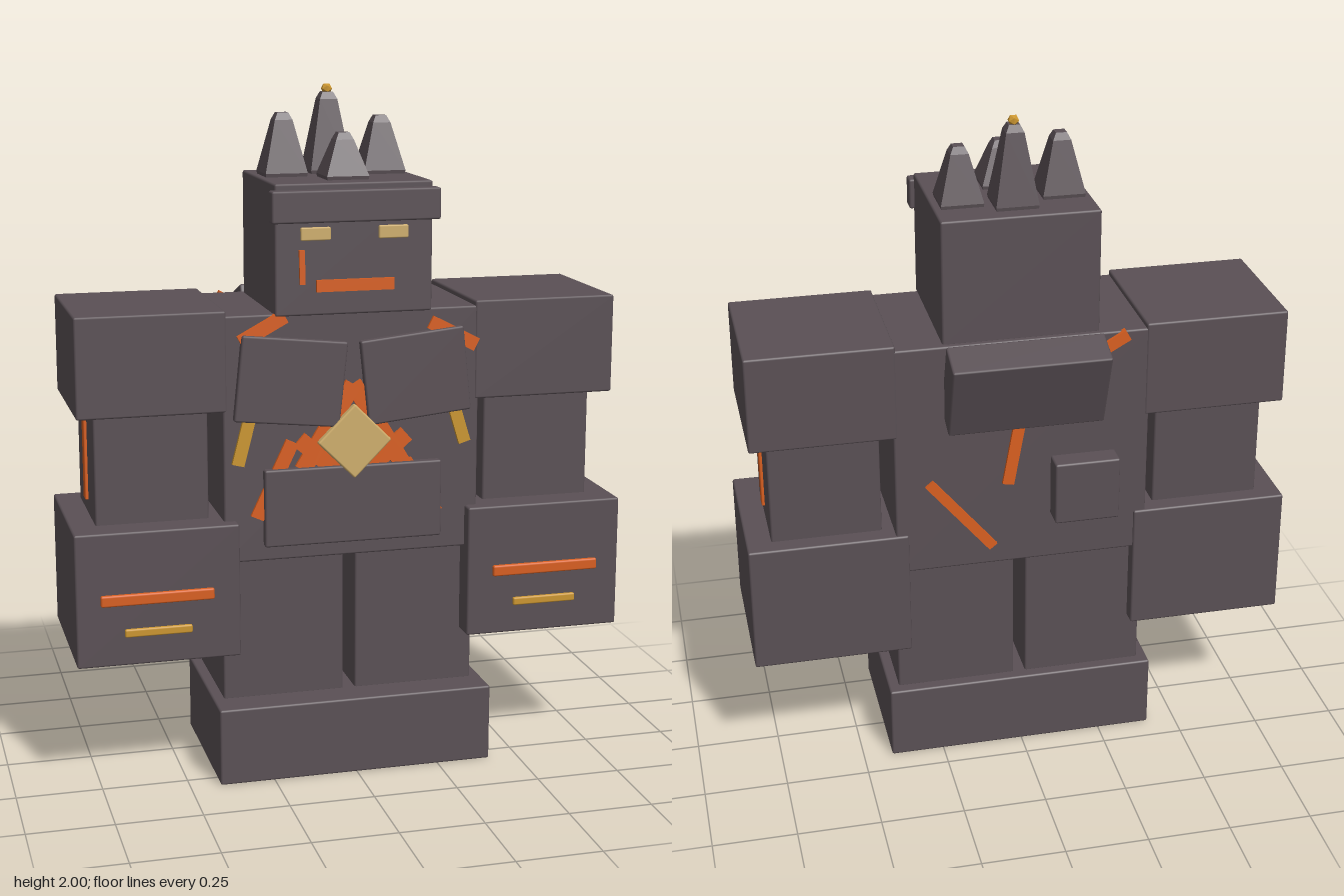
import * as THREE from 'three';
import { RoundedBoxGeometry } from 'three/addons/geometries/RoundedBoxGeometry.js';

function material(name, color) {
  const m = new THREE.MeshStandardMaterial({ color });
  m.name = name;
  return m;
}

export function createModel() {
  const root = new THREE.Group();
  root.name = 'stoneGolem';
  const stone = material('stone', 0x5a5055);
  const lava = material('lavaOrange', 0xd95f20);
  const gold = material('gold', 0xcb9630);
  const pale = material('paleGold', 0xcfae6c);

  function add(name, geometry, mat) {
    const mesh = new THREE.Mesh(geometry, mat);
    mesh.name = name;
    root.add(mesh);
    return mesh;
  }
  // Lightly bevelled block given by its minimum and maximum corners
  function block(name, mat, [x0, y0, z0], [x1, y1, z1], bevel = 0.006) {
    const w = x1 - x0, h = y1 - y0, d = z1 - z0;
    const mesh = add(name, new RoundedBoxGeometry(w, h, d, 1, Math.min(bevel, w / 4, h / 4, d / 4)), mat);
    mesh.position.set((x0 + x1) / 2, (y0 + y1) / 2, (z0 + z1) / 2);
    return mesh;
  }
  // Thin inlaid bar from a to b in the xy plane
  function bar(name, mat, [ax, ay], [bx, by], width, z, depth = 0.02) {
    const mesh = add(name, new THREE.BoxGeometry(Math.hypot(bx - ax, by - ay), width, depth), mat);
    mesh.position.set((ax + bx) / 2, (ay + by) / 2, z);
    mesh.rotation.z = Math.atan2(by - ay, bx - ax);
    return mesh;
  }

  // Main body
  block('feet', stone, [-0.412, 0, -0.175], [0.412, 0.23, 0.313]);
  block('torso', stone, [-0.38, 0.655, -0.178], [0.38, 1.375, 0.25]);
  block('head', stone, [-0.23, 1.37, -0.16], [0.23, 1.742, 0.265]);
  block('brow', stone, [-0.245, 1.635, 0.25], [0.245, 1.725, 0.298]);

  // Limbs and their inlays, mirrored
  for (const s of [-1, 1]) {
    const side = s > 0 ? 'left' : 'right';
    const pair = (name, mat, a, b) => block(side + name, mat,
      [s > 0 ? a[0] : -b[0], a[1], a[2]], [s > 0 ? b[0] : -a[0], b[1], b[2]]);
    pair('Leg', stone, [0.018, 0.225, -0.14], [0.38, 0.66, 0.215]);
    pair('Shoulder', stone, [0.368, 1.1, -0.18], [0.796, 1.39, 0.252]);
    pair('Arm', stone, [0.415, 0.77, -0.13], [0.743, 1.11, 0.2]);
    pair('Fist', stone, [0.343, 0.387, -0.185], [0.817, 0.78, 0.29]);
    pair('ArmCrack', lava, [0.738, 0.82, 0.02], [0.752, 1.105, 0.06]);
    pair('LegCrack', lava, [0.374, 0.32, 0.02], [0.388, 0.58, 0.06]);
    pair('FistCrack', lava, [0.42, 0.567, 0.28], [0.747, 0.6, 0.302]);
    pair('FistTrim', gold, [0.485, 0.472, 0.28], [0.68, 0.496, 0.3]);
    pair('Eye', pale, [0.07, 1.583, 0.258], [0.157, 1.62, 0.274]);

    // Tilted chest plate
    const plate = block(side + 'ChestPlate', stone, [-0.155, -0.124, -0.015], [0.155, 0.124, 0.015]);
    plate.position.set(s * 0.185, 1.182, 0.257);
    plate.rotation.z = s * 0.105;

    // Crossing cracks behind the gem
    bar(side + 'ChevronCrack', lava, [0, 1.165], [s * 0.15, 0.92], 0.05, 0.25);
    bar(side + 'VeeCrack', lava, [s * 0.16, 1.01], [0, 0.87], 0.05, 0.25);
  }

  // Chest details
  block('bellyPlate', stone, [-0.265, 0.7, 0.235], [0.263, 0.928, 0.275]);
  const gem = block('chestGem', pale, [-0.078, -0.078, -0.012], [0.078, 0.078, 0.012]);
  gem.position.set(0, 1, 0.268);
  gem.rotation.z = Math.PI / 4;
  bar('rightShoulderCrack', lava, [-0.33, 1.3], [-0.2, 1.37], 0.04, 0.25);
  bar('leftShoulderCrack', lava, [0.23, 1.335], [0.37, 1.262], 0.04, 0.25);
  bar('rightBellyCrack', lava, [-0.18, 1.005], [-0.285, 0.785], 0.04, 0.25);
  bar('leftBellyCrack', lava, [0.16, 0.93], [0.255, 0.77], 0.035, 0.25);
  bar('rightChestTrim', gold, [-0.305, 1.08], [-0.34, 0.945], 0.036, 0.25, 0.024);
  bar('leftChestTrim', gold, [0.305, 1.08], [0.337, 0.975], 0.036, 0.25, 0.024);

  // Face
  bar('mouth', lava, [-0.112, 1.454], [0.116, 1.454], 0.034, 0.264);
  bar('cheekCrack', lava, [-0.152, 1.46], [-0.154, 1.557], 0.016, 0.264);

  // Back slab, block and cracks
  const slab = block('backSlab', stone, [-0.23, -0.125, -0.055], [0.23, 0.125, 0.055]);
  slab.position.set(0, 1.256, -0.223);
  slab.rotation.x = -0.345;
  block('backBlock', stone, [-0.28, 0.8, -0.243], [-0.085, 0.995, -0.16]);
  bar('backCrackLow', lava, [0.28, 0.945], [0.09, 0.715], 0.03, -0.178);
  bar('backCrackMiddle', lava, [-0.005, 1.2], [0.045, 0.92], 0.035, -0.178);
  bar('backCrackHigh', lava, [-0.31, 1.365], [-0.14, 1.27], 0.035, -0.178);

  // Four-sided crown spikes: x, z, tip height
  const spikes = [[0, -0.05, 1.975], [-0.15, 0.015, 1.922], [0.148, -0.003, 1.908], [0, 0.135, 1.872]];
  for (const [x, z, top] of spikes) {
    const h = top - 1.74, r = Math.SQRT2;
    const profile = [[0, 0], [0.06, 0], [0.062, 0.012], [0.026, h - 0.02], [0.016, h], [0, h]]
      .map(([px, py]) => new THREE.Vector2(px * r, py));
    const geometry = new THREE.LatheGeometry(profile, 4, Math.PI / 4).toNonIndexed();
    geometry.computeVertexNormals();
    add('crownSpike', geometry, stone).position.set(x, 1.74, z);
  }
  add('crownBead', new THREE.IcosahedronGeometry(0.017, 0), gold).position.set(0, 1.984, -0.05);

  return root;
}
